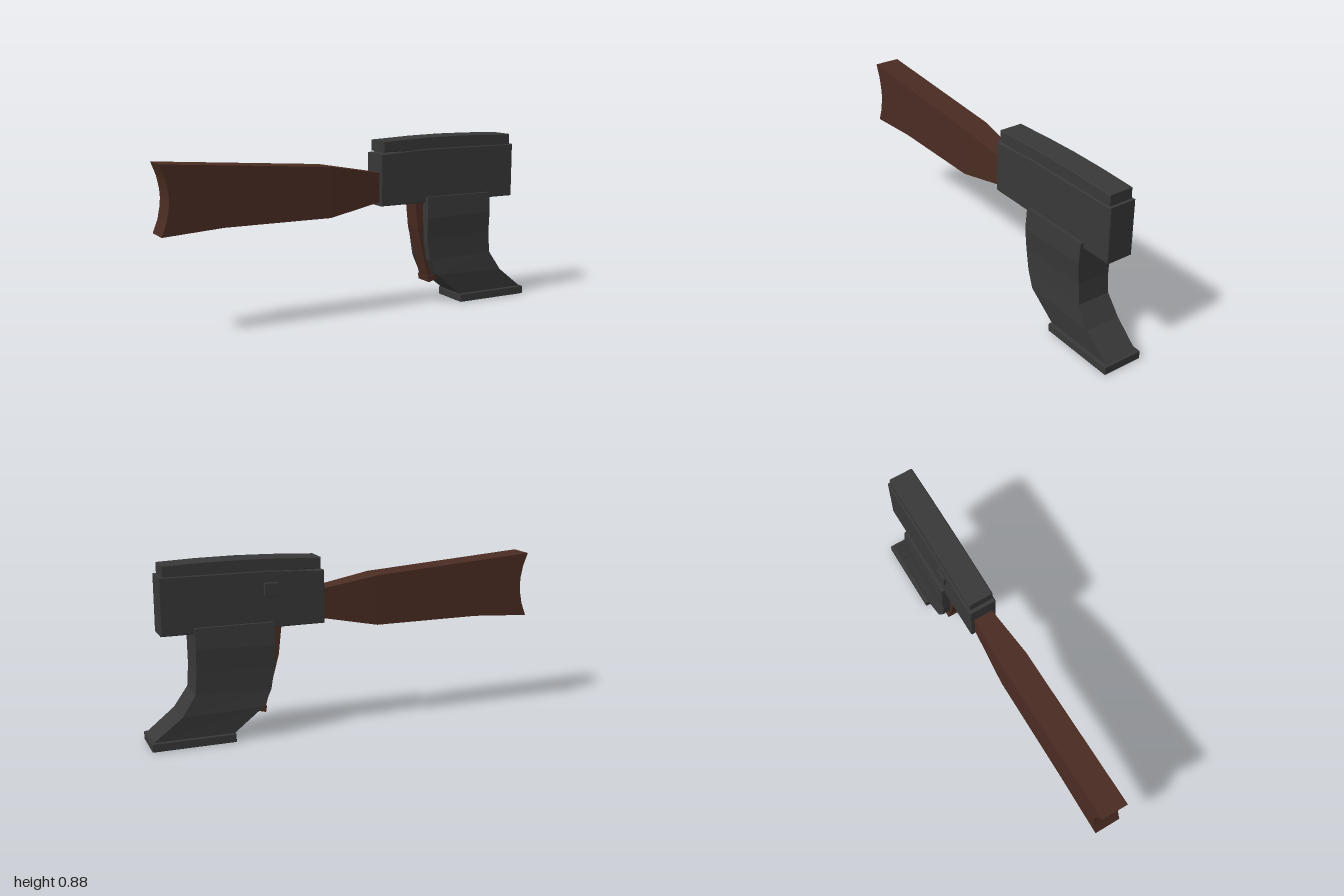
import * as THREE from 'three';
import { RoundedBoxGeometry } from 'three/addons/geometries/RoundedBoxGeometry.js';

const metal = new THREE.MeshStandardMaterial({ color: 0x383838 });
metal.name = 'dark metal';
const wood = new THREE.MeshStandardMaterial({ color: 0x4a2c22 });
wood.name = 'brown wood';

// Side outline extruded evenly about z = 0, with an optional small bevel
function slab(points, halfWidth, bevel = 0) {
  const shape = new THREE.Shape(points.map(([x, y]) => new THREE.Vector2(x, y)));
  const depth = 2 * (halfWidth - bevel);
  const geo = new THREE.ExtrudeGeometry(shape, {
    depth, bevelEnabled: bevel > 0, bevelSize: bevel, bevelOffset: -bevel,
    bevelThickness: bevel, bevelSegments: 1,
  });
  return geo.translate(0, 0, -depth / 2);
}

// Flat-shaded solid through rows [xA, yA, xB, yB, halfWidth], listed top to
// bottom with A on the -x side and B on the +x side
function loft(rows) {
  const rings = rows.map(([xa, ya, xb, yb, w]) =>
    [[xa, ya, w], [xb, yb, w], [xb, yb, -w], [xa, ya, -w]]);
  const pos = [];
  const quad = (a, b, c, d) => pos.push(...a, ...b, ...c, ...a, ...c, ...d);
  for (let i = 0; i < rings.length - 1; i++) {
    const t = rings[i], b = rings[i + 1];
    for (let k = 0; k < 4; k++) {
      const n = (k + 1) % 4;
      quad(b[k], b[n], t[n], t[k]);
    }
  }
  const top = rings[0], end = rings[rings.length - 1];
  quad(top[0], top[1], top[2], top[3]);
  quad(end[3], end[2], end[1], end[0]);
  const geo = new THREE.BufferGeometry();
  geo.setAttribute('position', new THREE.Float32BufferAttribute(pos, 3));
  geo.computeVertexNormals();
  return geo;
}

export function createModel() {
  const group = new THREE.Group();
  const add = (name, geo, mat) => {
    const mesh = new THREE.Mesh(geo, mat);
    mesh.name = name;
    group.add(mesh);
    return mesh;
  };

  // Receiver body and its gently arched cover
  add('receiver', slab([[0.13, 0.54], [0.93, 0.54], [0.93, 0.815], [0.4, 0.815], [0.13, 0.8]], 0.07, 0.004), metal);
  add('topCover', slab([[0.145, 0.808], [0.915, 0.808], [0.915, 0.868], [0.73, 0.875],
    [0.54, 0.877], [0.36, 0.873], [0.145, 0.863]], 0.063, 0.004), metal);

  // Small button on the back side
  add('sideButton', new RoundedBoxGeometry(0.07, 0.066, 0.024, 1, 0.005), metal)
    .position.set(0.4, 0.727, -0.072);

  // Curved magazine with slight bulges across its width
  add('magazine', loft([
    [0.392, 0.57, 0.775, 0.57, 0.087],
    [0.39, 0.46, 0.775, 0.47, 0.094],
    [0.393, 0.35, 0.775, 0.36, 0.087],
    [0.412, 0.24, 0.783, 0.25, 0.087],
    [0.452, 0.16, 0.85, 0.15, 0.094],
    [0.6, 0.04, 0.99, 0.04, 0.087],
  ]), metal);
  add('magazineBase', new RoundedBoxGeometry(0.405, 0.042, 0.208, 1, 0.004), metal)
    .position.set(0.7965, 0.021, 0);

  // Wooden grip tucked behind the magazine, with a flared foot
  add('grip', loft([
    [0.342, 0.545, 0.47, 0.57, 0.045],
    [0.36, 0.4, 0.49, 0.42, 0.05],
    [0.398, 0.25, 0.5, 0.27, 0.045],
    [0.432, 0.13, 0.5, 0.15, 0.042],
  ]), wood);
  add('gripFoot', slab([[0.43, 0.115], [0.49, 0.132], [0.486, 0.16], [0.424, 0.146]], 0.05), wood);

  // Stock with a hollowed butt end, and the neck joining it to the receiver
  add('stock', slab([[-1, 0.485], [-0.7, 0.505], [-0.15, 0.505], [-0.15, 0.755], [-1, 0.815],
    [-0.975, 0.75], [-0.963, 0.69], [-0.96, 0.65], [-0.963, 0.61], [-0.975, 0.55]], 0.066), wood);
  // The neck is lofted upright, then turned so its rows run along x
  const neck = loft([[-0.755, -0.15, -0.505, -0.15, 0.066], [-0.705, -0.435, -0.56, -0.435, 0.048]]);
  neck.rotateZ(Math.PI / 2);
  neck.scale(1, -1, 1);
  neck.translate(-0.3, 0, 0);
  // Restore outward faces after the mirror
  const p = neck.attributes.position;
  for (let i = 0; i < p.count; i += 3) {
    const a = [p.getX(i + 1), p.getY(i + 1), p.getZ(i + 1)];
    p.setXYZ(i + 1, p.getX(i + 2), p.getY(i + 2), p.getZ(i + 2));
    p.setXYZ(i + 2, ...a);
  }
  neck.computeVertexNormals();
  add('stockNeck', neck, wood);

  return group;
}
